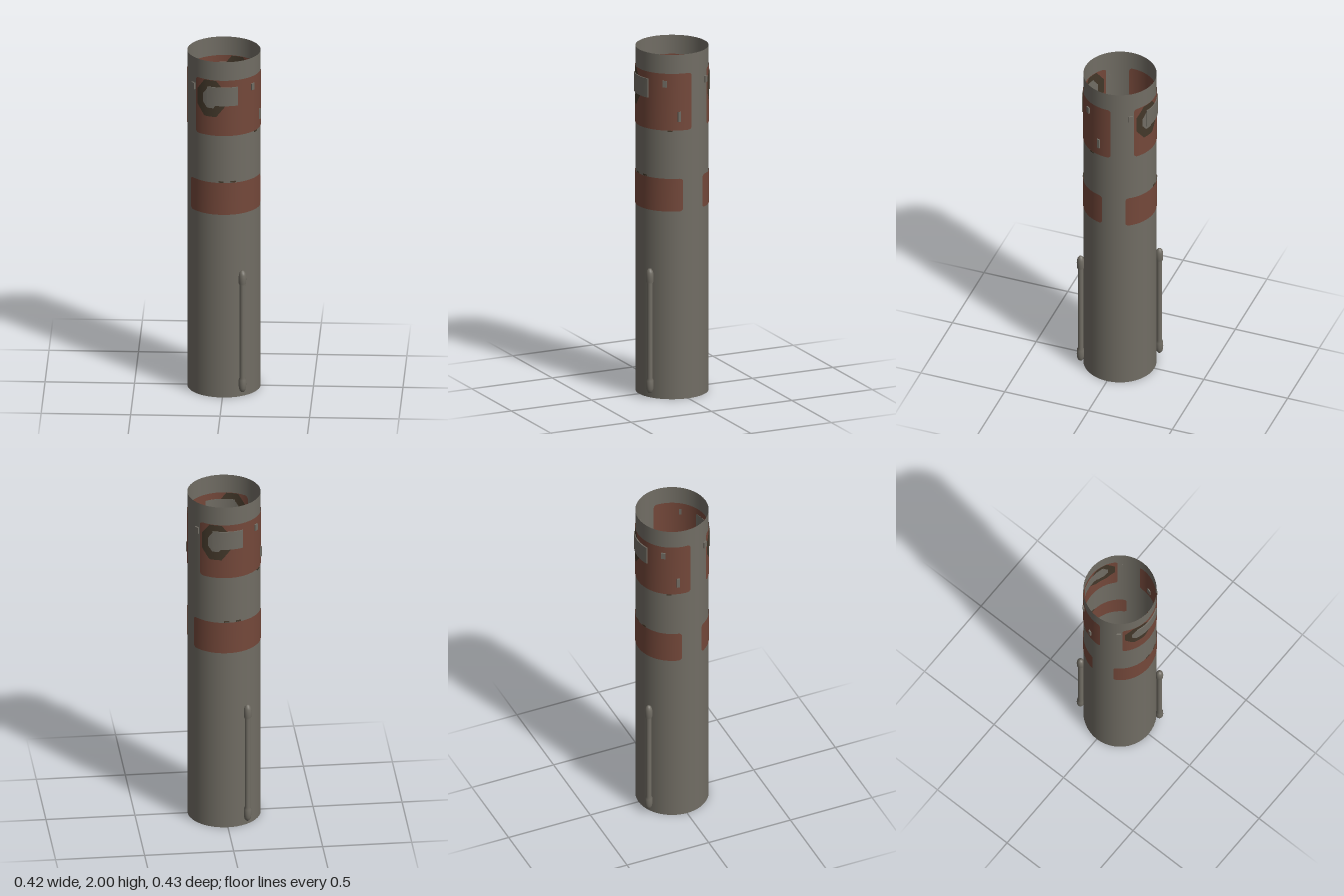
import * as THREE from 'three';

const R = 0.205;
const rad = THREE.MathUtils.degToRad;
const paint = (name, color) =>
  Object.assign(new THREE.MeshStandardMaterial({ color, side: THREE.DoubleSide }), { name });

// Bends a flat geometry around the tube: x becomes arc length, z adds to the radius
function wrap(geo, degrees, y, radius) {
  const p = geo.attributes.position;
  for (let i = 0; i < p.count; i++) {
    const a = rad(degrees) + p.getX(i) / R, r = radius + p.getZ(i);
    p.setXYZ(i, r * Math.sin(a), p.getY(i) + y, r * Math.cos(a));
  }
  geo.computeVertexNormals();
  return geo;
}

// Rectangle with rounded corners, made of narrow columns
function roundedPanel(width, height, corner) {
  const n = 72, geo = new THREE.PlaneGeometry(width, height, n, 1);
  const p = geo.attributes.position;
  for (let i = 0; i < p.count; i++) {
    const t = (i % (n + 1)) / n;
    // columns crowd towards the two ends
    const x = (width / 2) * Math.sin((t - 0.5) * Math.PI);
    const d = Math.max(0, Math.abs(x) - (width / 2 - corner));
    const h = height / 2 - corner + Math.sqrt(Math.max(0, corner * corner - d * d));
    p.setXY(i, x, Math.sign(p.getY(i)) * h);
  }
  return geo;
}

// Octagonal ring stretched to its own width and height
function octagonRing(inner, outer, sx, sy) {
  const geo = new THREE.RingGeometry(inner, outer, 48, 5);
  const p = geo.attributes.position, step = Math.PI / 4;
  for (let i = 0; i < p.count; i++) {
    const a = Math.atan2(p.getY(i), p.getX(i)) + Math.PI * 2 + step / 2;
    const k = 1 / Math.cos((a % step) - step / 2);
    p.setXY(i, p.getX(i) * k * sx, p.getY(i) * k * sy);
  }
  return geo;
}

export function createModel() {
  const grey = paint('warm grey metal', 0x716d64);
  const rust = paint('rust red', 0x74483a);
  const brown = paint('dark brown', 0x43382a);
  const model = new THREE.Group();
  model.name = 'openTube';

  const add = (parent, name, geo, mat) => {
    const mesh = new THREE.Mesh(geo, mat);
    mesh.name = name;
    parent.add(mesh);
    return mesh;
  };

  // Open, thin-walled tube
  const tube = add(model, 'tube', new THREE.CylinderGeometry(R, R, 2, 48, 1, true), grey);
  tube.position.y = 1;

  // Every detail appears twice, half a turn apart
  for (let side = 0; side < 2; side++) {
    const half = new THREE.Group();
    half.name = side ? 'backDetails' : 'frontDetails';
    half.rotation.y = side * Math.PI;
    model.add(half);

    // Painted areas show on the outer and inner wall
    for (const s of [1, -1]) {
      const where = s > 0 ? 'Outer' : 'Inner';
      add(half, 'upperPanel' + where,
        wrap(roundedPanel(rad(143) * R, 0.33, 0.02), 24.5, 1.725, R + s * 0.0012), rust);
      add(half, 'lowerPanel' + where,
        wrap(roundedPanel(rad(142.5) * R, 0.19, 0.02), 10.3, 1.185, R + s * 0.0012), rust);
      add(half, 'portRing' + where,
        wrap(octagonRing(0.52, 1, 0.084, 0.108), -19.5, 1.78, R + s * 0.0022), brown);
      add(half, 'portCentre' + where,
        wrap(octagonRing(0.001, 0.53, 0.084, 0.108), -19.5, 1.78, R + s * 0.0026), grey);
    }

    // Curved cover plate over the port
    add(half, 'coverPlate',
      wrap(new THREE.BoxGeometry(0.172, 0.11, 0.01, 8, 1, 1), 0, 1.795, 0.2075), grey);

    // Small tabs either side of the cover plate
    for (const angle of [-52.5, 52.5]) {
      add(half, 'tab',
        wrap(new THREE.BoxGeometry(0.024, 0.038, 0.01), angle, 1.83, 0.209), grey);
    }

    // Tapered latch block
    const block = new THREE.BoxGeometry(0.027, 0.058, 0.015);
    const p = block.attributes.position;
    for (let i = 0; i < p.count; i++) if (p.getZ(i) > 0) p.setX(i, p.getX(i) * 0.5);
    add(half, 'latchBlock', wrap(block, 75.5, 1.64, 0.206), grey);

    // Thin clips along the panel edges
    for (const [angle, y] of [[-2, 1.286], [17, 1.286], [61, 1.556]]) {
      add(half, 'edgeClip',
        wrap(new THREE.BoxGeometry(0.028, 0.008, 0.006), angle, y, R), brown);
    }

    // Vertical rod with swollen, rounded ends
    const end = [[0, 0.03], [0.009, 0.033], [0.016, 0.042], [0.02, 0.056],
      [0.0215, 0.075], [0.021, 0.105], [0.0155, 0.118]];
    const profile = [...end, ...end.slice().reverse().map(([r, y]) => [r, 0.785 - y])]
      .map(([r, y]) => new THREE.Vector2(r, y));
    const rod = add(half, 'sideRod', new THREE.LatheGeometry(profile, 20), grey);
    rod.position.set(0.223 * Math.sin(rad(30)), 0, 0.223 * Math.cos(rad(30)));
  }
  return model;
}
